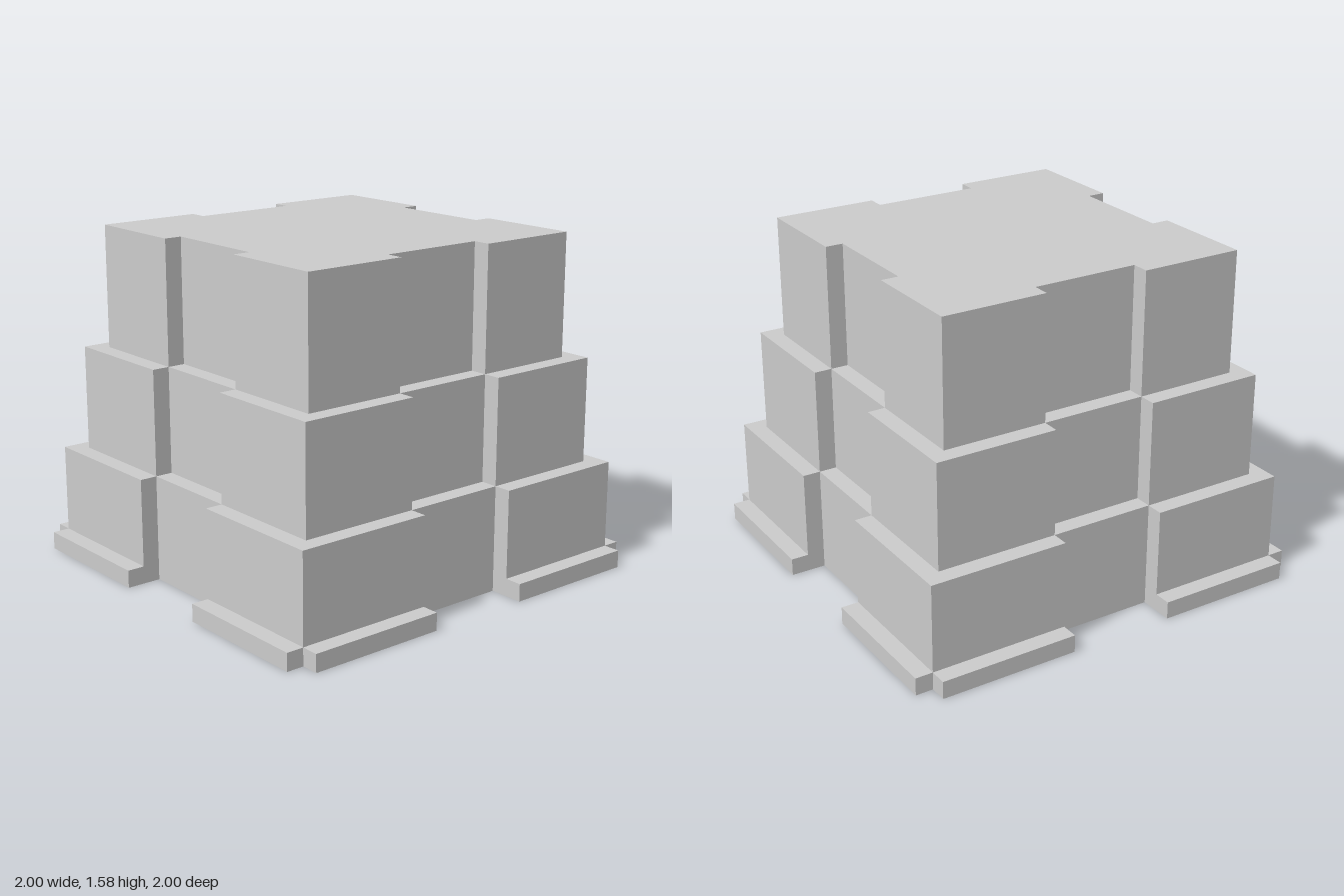
import * as THREE from 'three';

const STEP = 1 / 12; // ledge width and recess depth
const NOTCH = 0.253; // half width of the recess in each side

// Repeats one corner's outline four times around the centre
function fourfold(corner) {
  const points = [];
  for (let i = 0; i < 4; i++) {
    for (const [x, y] of corner) {
      points.push(new THREE.Vector2(x, y).rotateAround(new THREE.Vector2(), i * Math.PI / 2));
    }
  }
  return new THREE.Shape(points);
}

// Square block with a recess in the middle of each side
function tierShape(half) {
  const inner = half - STEP;
  return fourfold([[inner, NOTCH], [half, NOTCH], [half, half], [NOTCH, half], [NOTCH, inner]]);
}

// Base outline: the skirting stands out from the walls and leaves the corners open
function plinthShape() {
  const wall = 1 - STEP, inner = wall - STEP;
  return fourfold([
    [inner, NOTCH], [1, NOTCH], [1, wall], [wall, wall], [wall, 1], [NOTCH, 1], [NOTCH, inner],
  ]);
}

export function createModel() {
  const group = new THREE.Group();
  group.name = 'steppedBlock';
  const material = new THREE.MeshStandardMaterial({ color: 0xcccccc, flatShading: true });

  const addLayer = (name, shape, bottom, top) => {
    const geometry = new THREE.ExtrudeGeometry(shape, { depth: top - bottom, bevelEnabled: false });
    geometry.rotateX(-Math.PI / 2);
    geometry.translate(0, bottom, 0);
    const mesh = new THREE.Mesh(geometry, material);
    mesh.name = name;
    group.add(mesh);
  };

  // Layers from the ground up
  addLayer('plinth', plinthShape(), 0, STEP);
  addLayer('lowerTier', tierShape(1 - STEP), STEP, 0.5);
  addLayer('middleTier', tierShape(1 - 2 * STEP), 0.5, 1);
  addLayer('upperTier', tierShape(1 - 3 * STEP), 1, 1 + 7 * STEP);

  return group;
}
